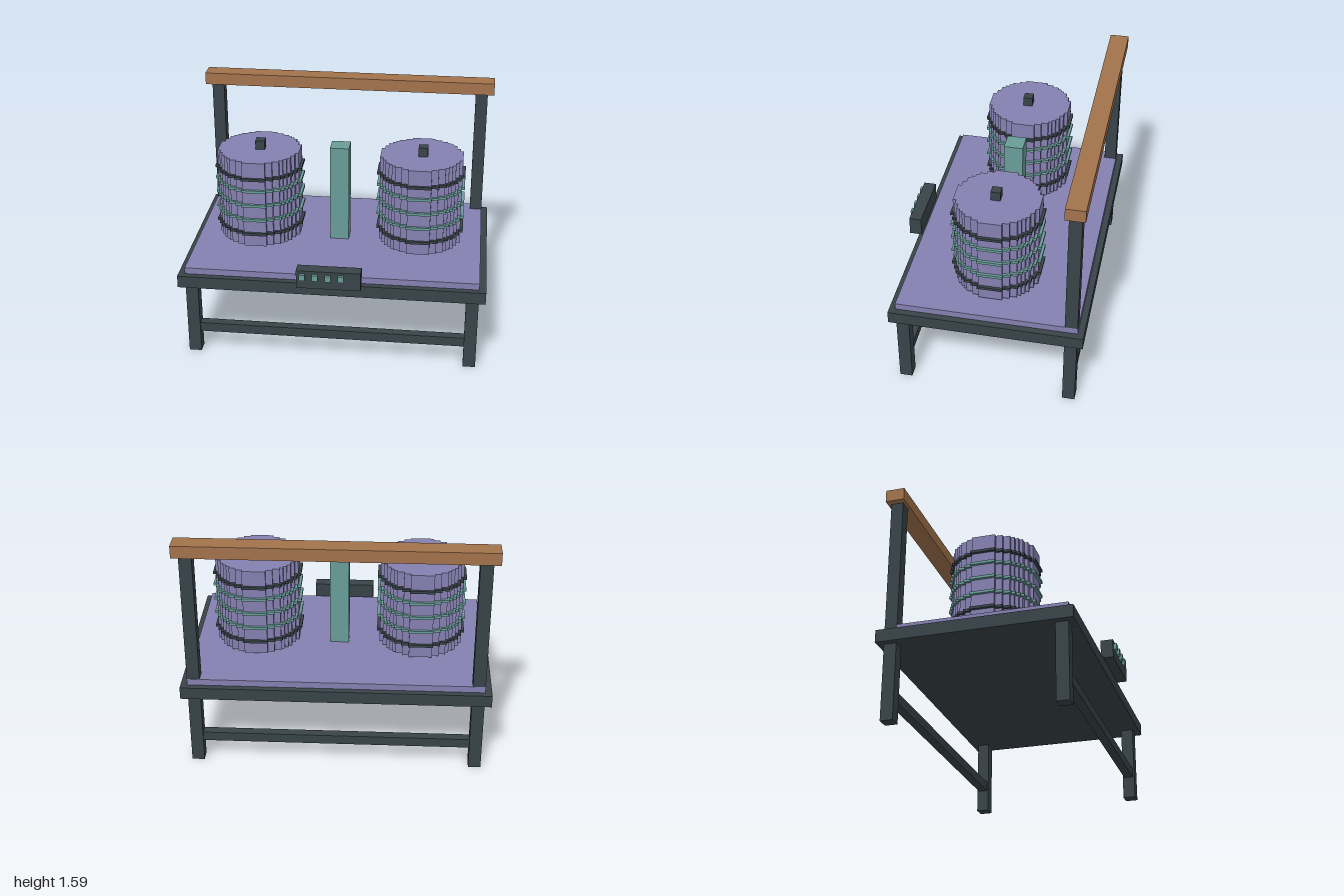
import * as THREE from 'three';

const material = (color) => new THREE.MeshStandardMaterial({ color, flatShading: true });

// Stepped disc outline: a circle snapped to an n by n grid of square cells
function steppedDisc(radius, n = 25) {
  const cell = (2 * radius) / n;
  const right = [];
  for (let i = 0; i < n; i++) {
    const row = i - (n - 1) / 2;
    const half = Math.floor(Math.sqrt((n / 2) ** 2 - row ** 2)) + 0.5;
    const y0 = (row - 0.5) * cell, y1 = (row + 0.5) * cell;
    right.push([half * cell, y0], [half * cell, y1]);
  }
  const left = right.map(([x, y]) => [-x, y]).reverse();
  // drop points that repeat their predecessor
  const points = [...right, ...left]
    .filter((p, i, a) => i === 0 || Math.hypot(p[0] - a[i - 1][0], p[1] - a[i - 1][1]) > 1e-6)
    .map(([x, y]) => new THREE.Vector2(x, y));
  return new THREE.Shape(points);
}

export function createModel() {
  const model = new THREE.Group();
  model.name = 'twinDrumBench';
  const dark = material(0x384348);
  const purple = material(0x8580b0);
  const teal = material(0x689c98);
  const wood = material(0xa3734c);

  // Box given by its lower and upper corner
  function box(name, mat, [x0, y0, z0], [x1, y1, z1], parent = model) {
    const mesh = new THREE.Mesh(new THREE.BoxGeometry(x1 - x0, y1 - y0, z1 - z0), mat);
    mesh.position.set((x0 + x1) / 2, (y0 + y1) / 2, (z0 + z1) / 2);
    mesh.name = name;
    parent.add(mesh);
  }

  // Upright stepped disc from y0 to y1
  function disc(name, mat, radius, y0, y1, parent) {
    const geometry = new THREE.ExtrudeGeometry(steppedDisc(radius), { depth: y1 - y0, bevelEnabled: false });
    geometry.rotateX(-Math.PI / 2);
    const mesh = new THREE.Mesh(geometry, mat);
    mesh.position.y = y0;
    mesh.name = name;
    parent.add(mesh);
  }

  // Table
  box('tableFrame', dark, [-1, 0.503, -0.665], [1, 0.585, 0.583]);
  box('tableTop', purple, [-0.957, 0.585, -0.625], [0.957, 0.628, 0.543]);

  // Front legs and tall back posts
  for (const side of [-1, 1]) {
    const x0 = side < 0 ? -0.957 : 0.875;
    const x1 = x0 + 0.082;
    box('frontLeg', dark, [x0, 0, 0.461], [x1, 0.503, 0.543]);
    box('backPost', dark, [x0, 0, -0.623], [x1, 1.503, -0.542]);
  }

  // Stretchers and top beam
  for (const z of [0.502, -0.582]) {
    box('stretcher', dark, [-0.875, 0.147, z - 0.03], [0.875, 0.21, z + 0.03]);
  }
  box('topBeam', wood, [-1, 1.503, -0.646], [1, 1.585, -0.522]);

  // Central column
  box('column', teal, [-0.063, 0.628, -0.104], [0.063, 1.295, 0.021]);

  // Drums with bands and a knob
  for (const side of [-1, 1]) {
    const drum = new THREE.Group();
    drum.name = side < 0 ? 'rightDrum' : 'leftDrum';
    drum.position.set(side * 0.542, 0, -0.041);
    disc('drumBody', purple, 0.272, 0.65, 1.253, drum);
    [0.742, 0.846, 0.951, 1.055, 1.139].forEach((y, i) => {
      const end = i === 0 || i === 4;
      disc(end ? 'endBand' : 'middleBand', end ? dark : teal, 0.29, y - 0.009, y + 0.009, drum);
    });
    box('knob', dark, [-0.023, 1.253, -0.021], [0.039, 1.315, 0.041], drum);
    model.add(drum);
  }

  // Control panel with buttons
  box('controlPanel', dark, [-0.209, 0.587, 0.566], [0.205, 0.711, 0.647]);
  for (let i = 0; i < 4; i++) {
    const x = -0.17 + i * 0.083;
    box('button', teal, [x - 0.019, 0.65, 0.645], [x + 0.019, 0.69, 0.667]);
  }
  return model;
}
